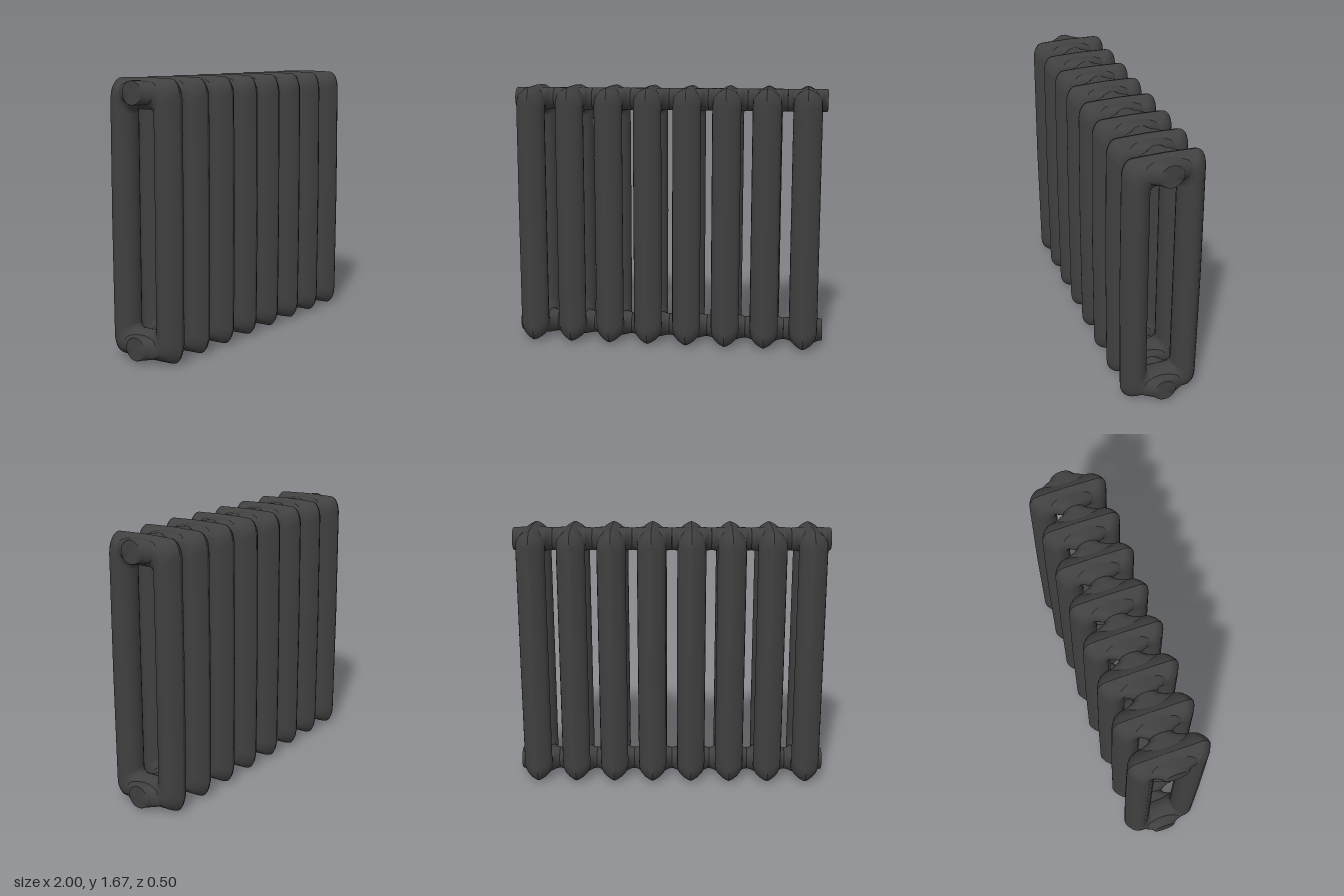
import * as THREE from 'three';
import { toCreasedNormals } from 'three/addons/utils/BufferGeometryUtils.js';

const HEIGHT = 1.67;
const SECTIONS = 8;
const PITCH = 0.25;

// Rounded rectangle in (z, y) about the centre, counter-clockwise, elliptical corners
function roundedLoop(halfZ, halfY, rz, ry, bulge) {
  const pts = [];
  const steps = 6;
  for (let q = 0; q < 4; q++) {
    const sz = q === 0 || q === 3 ? 1 : -1;
    const sy = q < 2 ? 1 : -1;
    for (let k = 0; k <= steps; k++) {
      const a = (q + k / steps) * Math.PI / 2;
      pts.push([sz * (halfZ - rz) + rz * Math.cos(a), sy * (halfY - ry) + ry * Math.sin(a)]);
    }
    // middle of the following straight side
    pts.push([[0, halfY + bulge], [-halfZ - bulge, 0], [0, -halfY - bulge], [halfZ + bulge, 0]][q]);
  }
  return pts;
}

// One hollow frame: a ridged tube section swept between an inner and an outer loop
function frameGeometry() {
  const inner = roundedLoop(0.085, 0.65, 0.03, 0.03, 0);
  const outer = roundedLoop(0.247, 0.828, 0.06, 0.1, 0.005);
  // half section: [distance from inner (0) to outer (1), half width]
  const half = [[1, 0], [0.97, 0.018], [0.88, 0.047], [0.76, 0.072], [0.64, 0.085],
    [0.5, 0.09], [0.34, 0.086], [0.18, 0.07], [0.06, 0.045], [0, 0.015]];
  const section = [...half, ...half.slice().reverse().map(([t, x]) => [t, -x])];
  const pos = [], idx = [];
  const n = inner.length, m = section.length;
  for (let i = 0; i < n; i++) {
    for (const [t, x] of section) {
      const z = inner[i][0] + (outer[i][0] - inner[i][0]) * t;
      const y = inner[i][1] + (outer[i][1] - inner[i][1]) * t;
      pos.push(x, y + HEIGHT / 2 + 0.002, z);
    }
    const next = (i + 1) % n;
    for (let j = 0; j < m - 1; j++) {
      const a = i * m + j, b = next * m + j;
      idx.push(a, a + 1, b, a + 1, b + 1, b);
    }
  }
  const g = new THREE.BufferGeometry();
  g.setAttribute('position', new THREE.Float32BufferAttribute(pos, 3));
  g.setIndex(idx);
  g.computeVertexNormals();
  return g;
}

// Connecting hub along x: round at the ends, flaring front to back into the frame
function hubGeometry() {
  const end = [[0.165, 0.06], [0.15, 0.078], [0.125, 0.09], [0.103, 0.098],
    [0.087, 0.107], [0.077, 0.115], [0.073, 0.122], [0.069, 0.1248], [0, 0.1248]];
  const profile = [
    ...end.slice().reverse().map(([r, x]) => new THREE.Vector2(r, -x)),
    ...end.map(([r, x]) => new THREE.Vector2(r, x)),
  ];
  const g = new THREE.LatheGeometry(profile, 32);
  g.rotateZ(-Math.PI / 2);
  const p = g.attributes.position;
  const maxY = 0.071;
  for (let i = 0; i < p.count; i++) {
    const r = Math.hypot(p.getY(i), p.getZ(i));
    if (r > maxY) p.setY(i, p.getY(i) * maxY / r);
  }
  return toCreasedNormals(g, 0.7);
}

export function createModel() {
  const model = new THREE.Group();
  model.name = 'radiator';
  const iron = new THREE.MeshStandardMaterial({ color: 0x404040 });
  iron.name = 'darkIron';

  const frame = frameGeometry();
  const hub = hubGeometry();
  for (let i = 0; i < SECTIONS; i++) {
    const section = new THREE.Group();
    section.name = 'section' + (i + 1);
    section.position.x = (i - (SECTIONS - 1) / 2) * PITCH;

    const body = new THREE.Mesh(frame, iron);
    body.name = 'columnFrame';
    section.add(body);

    for (const [name, y] of [['topHub', 1.584], ['bottomHub', 0.092]]) {
      const mesh = new THREE.Mesh(hub, iron);
      mesh.name = name;
      mesh.position.y = y;
      section.add(mesh);
    }
    model.add(section);
  }
  return model;
}
